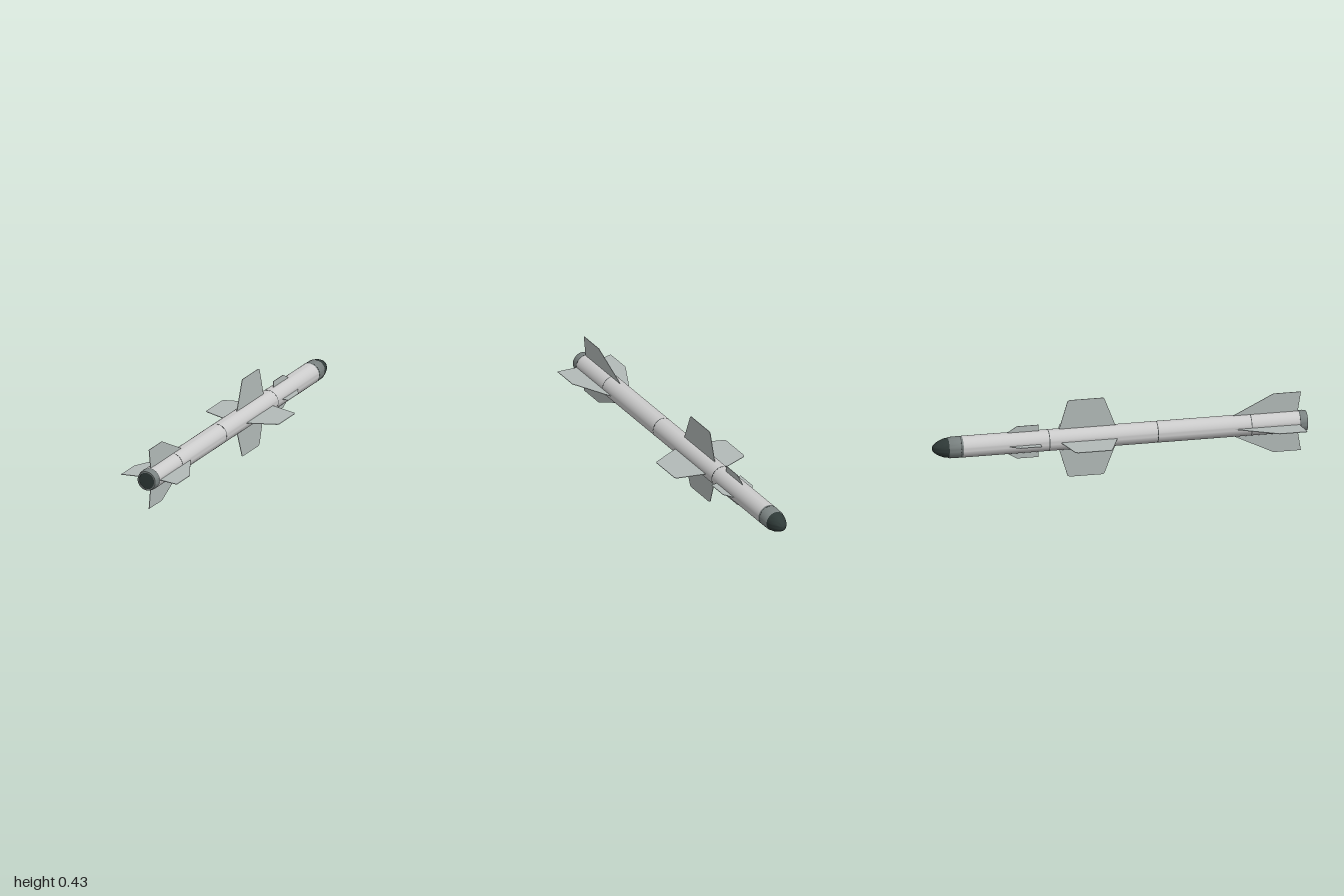
import * as THREE from 'three';
import { toCreasedNormals } from 'three/addons/utils/BufferGeometryUtils.js';

const R = 0.057;      // body radius
const AXIS_Y = 0.215; // height of the body's centre line
const SIDES = 48;

const paint = (color) => new THREE.MeshStandardMaterial({ color });
const bodyMat = paint(0xcccccc);
const finMat = paint(0xb2bab8);
const bandMat = paint(0x7b8382);
const seamMat = paint(0x4a4f4f);
const darkMat = paint(0x2f3a38);

export function createModel() {
  const model = new THREE.Group();
  model.name = 'missile';
  model.position.y = AXIS_Y;

  // Turned part about the z axis; profile holds [radius, z] with z rising
  function turned(name, profile, material, crease = 0.6) {
    const points = profile.map(([r, z]) => new THREE.Vector2(r, z));
    const geometry = new THREE.LatheGeometry(points, SIDES).rotateX(Math.PI / 2);
    const mesh = new THREE.Mesh(toCreasedNormals(geometry, crease), material);
    mesh.name = name;
    model.add(mesh);
  }

  // Four thin fins in a cross; outline holds [radius, z]
  function finSet(name, outline) {
    const thickness = 0.003;
    const shape = new THREE.Shape(outline.map(([r, z]) => new THREE.Vector2(r, z)));
    const geometry = new THREE.ExtrudeGeometry(shape, { depth: thickness, bevelEnabled: false });
    geometry.translate(0, 0, -thickness / 2).rotateX(Math.PI / 2);
    const set = new THREE.Group();
    set.name = name + 's';
    for (let i = 0; i < 4; i++) {
      const fin = new THREE.Mesh(geometry, finMat);
      fin.name = name;
      fin.rotation.z = (i * Math.PI) / 2;
      set.add(fin);
    }
    model.add(set);
  }

  // Rounded nose and the collar behind it
  turned('noseCone', [
    [0, -1], [0.012, -0.997], [0.023, -0.988], [0.034, -0.973],
    [0.043, -0.955], [0.05, -0.935], [0.053, -0.915],
  ], darkMat);
  turned('noseCollar', [[0.053, -0.915], [0.056, -0.91], [R, -0.84]], bandMat);

  // Body tube
  turned('body', [[R, -0.84], [R, 0.96]], bodyMat);

  // Joints between body sections
  for (const z of [-0.85, -0.38, 0.2, 0.7, 0.96]) {
    turned('sectionSeam', [
      [R, z - 0.002], [R + 0.0004, z - 0.002], [R + 0.0004, z + 0.002], [R, z + 0.002],
    ], seamMat);
  }

  // Tail ring with a rounded lip and dark exhaust
  turned('tailRing', [
    [R, 0.96], [R, 0.978], [0.055, 0.99], [0.052, 1], [0.045, 1], [0.045, 0.994],
  ], bandMat);
  turned('exhaust', [[0.045, 0.994], [0, 0.996]], darkMat);

  // Small forward fins, main wings and tail fins
  const root = R - 0.004;
  finSet('foreFin', [[root, -0.6], [R, -0.6], [0.09, -0.545], [0.09, -0.43], [root, -0.43]]);
  finSet('wing', [[root, -0.322], [R, -0.32], [0.209, -0.275], [0.2145, -0.262],
    [0.2145, -0.085], [0.209, -0.078], [R, -0.02], [root, -0.018]]);
  finSet('tailFin', [[root, 0.6], [R, 0.61], [0.164, 0.825], [0.164, 0.972], [R, 0.955], [root, 0.955]]);

  const group = new THREE.Group();
  group.add(model);
  return group;
}
